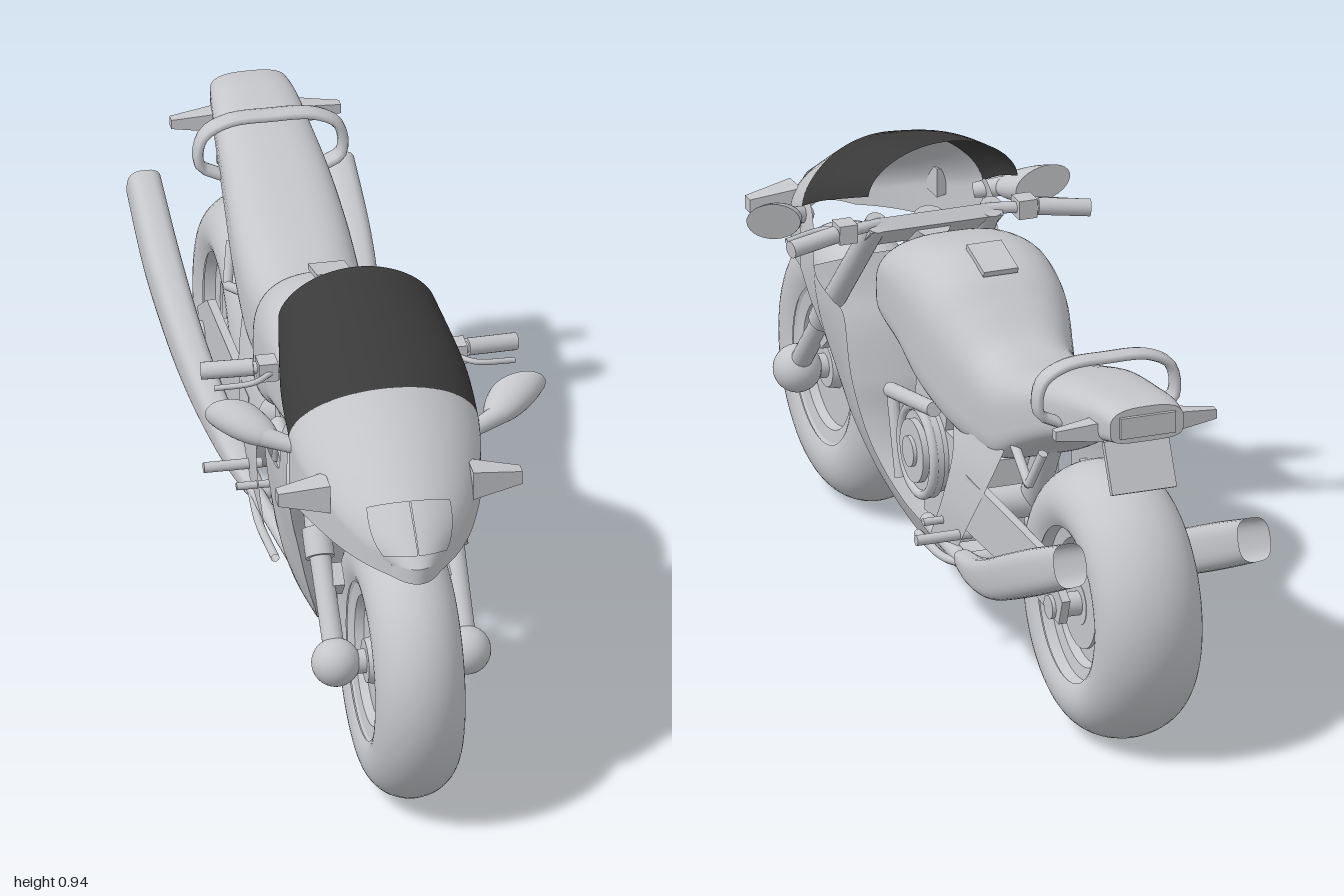
import * as THREE from 'three';

const V = (x, y, z) => new THREE.Vector3(x, y, z);
const grey = new THREE.MeshStandardMaterial({ color: 0xc4c6ca, side: THREE.DoubleSide });
grey.name = 'bodyGrey';
const dark = new THREE.MeshStandardMaterial({ color: 0x3a3a3a, side: THREE.DoubleSide });
dark.name = 'screenDark';

// Smooth value of a table of sections at s in 0..1
function sample(table, s) {
  const f = s * (table.length - 1), i = Math.min(Math.floor(f), table.length - 2), t = f - i;
  const row = k => table[Math.max(0, Math.min(table.length - 1, k))];
  return table[i].map((p1, c) => {
    const p0 = row(i - 1)[c], p2 = row(i + 1)[c], p3 = row(i + 2)[c];
    return p1 + 0.5 * t * (p2 - p0 + t * (2 * p0 - 5 * p1 + 4 * p2 - p3 + t * (3 * (p1 - p2) + p3 - p0)));
  });
}
const bend = (c, power) => Math.sign(c) * Math.abs(c) ** power;

// Surface from fn(u, v) -> Vector3, with optional wrap round v and end caps
function surface(fn, nu, nv, closed = false, caps = false) {
  const pos = [], idx = [], cols = closed ? nv : nv + 1;
  for (let i = 0; i <= nu; i++)
    for (let j = 0; j < cols; j++) pos.push(...fn(i / nu, j / nv).toArray());
  for (let i = 0; i < nu; i++)
    for (let j = 0; j < nv; j++) {
      const a = i * cols + j, b = i * cols + (j + 1) % cols, c = a + cols, d = b + cols;
      idx.push(a, c, b, b, c, d);
    }
  if (caps) for (const end of [0, nu]) {
    const start = pos.length / 3, mid = V(0, 0, 0);
    for (let j = 0; j < cols; j++) {
      const p = fn(end / nu, j / nv);
      mid.addScaledVector(p, 1 / cols);
      pos.push(...p.toArray());
    }
    pos.push(...mid.toArray());
    for (let j = 0; j < cols; j++) {
      const a = start + j, b = start + (j + 1) % cols;
      idx.push(...(end ? [a, start + cols, b] : [a, b, start + cols]));
    }
  }
  const g = new THREE.BufferGeometry();
  g.setAttribute('position', new THREE.Float32BufferAttribute(pos, 3));
  g.setIndex(idx);
  g.computeVertexNormals();
  return g;
}

// Straight round bar between two points
function rod(a, b, r1, r2 = r1, sides = 20) {
  const d = b.clone().sub(a);
  return new THREE.CylinderGeometry(r2, r1, d.length(), sides)
    .applyQuaternion(new THREE.Quaternion().setFromUnitVectors(V(0, 1, 0), d.normalize()))
    .translate((a.x + b.x) / 2, (a.y + b.y) / 2, (a.z + b.z) / 2);
}
const box = (w, h, d, x, y, z, tilt = 0) => new THREE.BoxGeometry(w, h, d).rotateX(tilt).translate(x, y, z);
const disc = (r, w, x, y, z) => new THREE.CylinderGeometry(r, r, w, 40).rotateZ(Math.PI / 2).translate(x, y, z);
const tube = (pts, r) => new THREE.TubeGeometry(new THREE.CatmullRomCurve3(pts), 32, r, 10);

// Four-sided lamp pointing sideways
function lamp(tip, base, length, x, y, z) {
  const g = new THREE.CylinderGeometry(tip, base, length, 4).rotateY(Math.PI / 4).rotateZ(-Math.PI / 2).toNonIndexed();
  g.computeVertexNormals();
  return g.translate(x, y, z);
}

// Plate drawn in the side plane as [z, y] points, between x and x + t
function sidePlate(pts, x, t) {
  const shape = new THREE.Shape(pts.map(([z, y]) => new THREE.Vector2(-z, y)));
  return new THREE.ExtrudeGeometry(shape, { depth: t, bevelEnabled: false }).rotateY(Math.PI / 2).translate(x, 0, 0);
}

export function createModel() {
  const model = new THREE.Group();
  model.name = 'motorcycle';
  const add = (name, geo, mat = grey) => {
    const m = new THREE.Mesh(geo, mat);
    m.name = name;
    model.add(m);
    return m;
  };
  const pair = (name, geo) => {
    add(name + 'Left', geo);
    add(name + 'Right', geo).scale.x = -1;
  };

  // Wheels: tyre of round section, stepped rim bands and axle
  for (const [name, z, w, R] of [['front', 0.713, 0.092, 0.287], ['rear', -0.702, 0.113, 0.286]]) {
    const tyre = [];
    for (let i = -16; i <= 16; i++) {
      const a = i / 16 * 2.05;
      tyre.push(new THREE.Vector2(R - 0.085 + 0.085 * Math.cos(a), w * Math.sin(a)));
    }
    add(name + 'Tyre', new THREE.LatheGeometry(tyre, 64).rotateZ(Math.PI / 2).translate(0, 0.29, z));
    const half = [[0.166, 0.86 * w], [0.16, 0.075], [0.134, 0.07], [0.128, 0.052], [0.05, 0.052], [0.045, 0.075], [0, 0.075]];
    for (const side of [1, -1]) {
      const ring = half.map(([r, x]) => new THREE.Vector2(r, side * x));
      for (let i = 1; i < ring.length; i++)
        add(name + 'Rim', new THREE.LatheGeometry([ring[i - 1], ring[i]], 48).rotateZ(Math.PI / 2).translate(0, 0.29, z));
    }
    add(name + 'Axle', disc(0.025, name === 'front' ? 0.25 : 0.28, 0, 0.29, z));
  }
  pair('rearBrakeDisc', disc(0.095, 0.008, 0.07, 0.29, -0.702));

  // Front fork
  pair('forkBall', new THREE.SphereGeometry(0.05, 28, 20).translate(0.135, 0.293, 0.713));
  pair('forkLeg', rod(V(0.135, 0.295, 0.713), V(0.138, 0.48, 0.54), 0.022));
  pair('forkSleeve', rod(V(0.138, 0.455, 0.563), V(0.138, 0.5, 0.522), 0.03));
  pair('forkTube', rod(V(0.138, 0.48, 0.54), V(0.125, 0.76, 0.295), 0.024));
  pair('brakeCaliper', box(0.035, 0.05, 0.05, 0.115, 0.415, 0.585, 0.7));
  add('forkClamp', box(0.29, 0.03, 0.08, 0, 0.73, 0.32, 0.7));
  add('steeringHead', rod(V(0, 0.58, 0.42), V(0, 0.74, 0.31), 0.04));

  // Handlebars and levers
  pair('handlebar', rod(V(0.11, 0.755, 0.305), V(0.24, 0.75, 0.278), 0.012));
  pair('grip', rod(V(0.22, 0.752, 0.282), V(0.325, 0.742, 0.26), 0.018));
  pair('controlBox', box(0.04, 0.04, 0.045, 0.195, 0.752, 0.292));
  pair('lever', tube([V(0.19, 0.75, 0.31), V(0.23, 0.745, 0.335), V(0.31, 0.735, 0.325)], 0.006));

  // Nose sections: z, top, half width, shoulder height, bottom
  const noseRows = [
    [0.912, 0.6, 0.05, 0.592, 0.566], [0.865, 0.645, 0.092, 0.612, 0.572], [0.8, 0.697, 0.132, 0.64, 0.579],
    [0.72, 0.75, 0.164, 0.665, 0.585], [0.64, 0.798, 0.188, 0.69, 0.588], [0.575, 0.838, 0.196, 0.72, 0.585]];
  const nose = (s, t, lift = 0) => {
    const [z, top, w, sh, bot] = sample(noseRows, s), side = Math.sign(t), k = Math.abs(t);
    const a = Math.min(k / 0.65, 1) * Math.PI / 2, fall = Math.max(0, (k - 0.65) / 0.35);
    const y = k < 0.65 ? sh + (top - sh + lift) * Math.max(0, Math.cos(a)) ** 1.15 : sh + (bot - sh) * fall;
    return V(side * (w + lift) * Math.sin(a), y, z + lift - 0.045 * Math.sin(a) ** 2);
  };
  add('noseFairing', surface((u, v) => nose(u, v * 2 - 1), 24, 48));
  add('noseFront', surface((u, v) => { const p = nose(0, v * 2 - 1); p.y += (0.566 - p.y) * u; return p; }, 2, 24));
  for (const s of [-1, 1])
    add('headlight' + (s > 0 ? 'Left' : 'Right'),
      surface((u, v) => nose(0.1 + 0.3 * u, s * (0.004 + (0.46 - 0.18 * u) * v), 0.004), 8, 12));

  // Windscreen
  const screenRows = [[0.575, 0.838, 0.53, 0.72, 0.196], [0.42, 0.895, 0.42, 0.772, 0.192], [0.24, 0.938, 0.245, 0.84, 0.162]];
  add('windscreen', surface((u, v) => {
    const [zc, yc, zs, ys, w] = sample(screenRows, u), a = (v - 0.5) * Math.PI, k = Math.sin(a) ** 2;
    return V(w * Math.sin(a), ys + (yc - ys) * Math.max(0, Math.cos(a)) ** 1.15, zc + (zs - zc) * k);
  }, 16, 40), dark);

  // Side fairing: stations from top edge (z, y) to bottom edge (z, y), front edge drawn inwards
  const flank = [
    [0.53, 0.72, 0.53, 0.585], [0.495, 0.735, 0.505, 0.525], [0.46, 0.69, 0.475, 0.475], [0.445, 0.605, 0.455, 0.43],
    [0.36, 0.582, 0.432, 0.36], [0.288, 0.565, 0.41, 0.29], [0.288, 0.42, 0.37, 0.225], [0.25, 0.28, 0.3, 0.17],
    [0.17, 0.208, 0.2, 0.136], [0.05, 0.187, 0.07, 0.124], [-0.09, 0.187, -0.1, 0.14], [-0.2, 0.21, -0.22, 0.168]];
  const widths = [[0.09], [0.122], [0.154], [0.176], [0.191], [0.199], [0.198], [0.185]]; // y 0.12 to 0.78
  const flankX = (u, v, y) => sample(widths, Math.max(0, Math.min(1, (y - 0.12) / 0.66)))[0] * (1 - 0.13 * v * v * Math.sin(Math.PI * u));
  pair('sideFairing', surface((u, v) => {
    const [z0, y0, z1, y1] = sample(flank, u), y = y0 + (y1 - y0) * v;
    return V(flankX(u, v, y), y, z0 + (z1 - z0) * v);
  }, 66, 10));
  // Wheel arch liner running down into the belly pan
  add('archAndBellyPan', surface((u, v) => {
    const [, , z, y] = sample(flank, u), k = v * 2 - 1, arch = 1 - k * k;
    const front = Math.max(0, 1 - u * 1.8);
    return V(flankX(u, 1, y) * k, y - 0.012 * arch * (1 - front) + 0.02 * front * arch, z - 0.018 * arch * Math.min(1, front * 3));
  }, 60, 12));

  // Turn signals at the nose
  pair('frontSignal', lamp(0.02, 0.044, 0.105, 0.2, 0.674, 0.69));

  // Mirrors: bowl swept forwards and inwards from a flat rear face
  const sweep = new THREE.Matrix4().set(1, 0, -0.65, 0.293, 0, 1, -0.25, 0.733, 0, 0, 1, 0.44, 0, 0, 0, 1);
  const shell = new THREE.SphereGeometry(1, 28, 12, 0, Math.PI * 2, 0, Math.PI / 2).rotateX(Math.PI / 2).scale(0.06, 0.037, 0.085);
  const glass = new THREE.CircleGeometry(1, 28).rotateY(Math.PI).scale(0.06, 0.037, 1);
  for (const [name, g] of [['mirrorShell', shell], ['mirrorGlass', glass]])
    pair(name, g.rotateZ(0.25).applyMatrix4(sweep));
  pair('mirrorArm', rod(V(0.18, 0.7, 0.535), V(0.25, 0.715, 0.5), 0.016, 0.022));

  // Tank, seat and tail as one flowing body: z, top, bottom, half width
  const spine = [
    [0.285, 0.7, 0.565, 0.118], [0.268, 0.722, 0.56, 0.137], [0.2, 0.76, 0.556, 0.153], [0.1, 0.785, 0.54, 0.162],
    [0.02, 0.79, 0.5, 0.162], [-0.06, 0.768, 0.472, 0.155], [-0.13, 0.72, 0.448, 0.137], [-0.2, 0.674, 0.44, 0.118],
    [-0.26, 0.664, 0.447, 0.119], [-0.34, 0.672, 0.47, 0.122], [-0.46, 0.705, 0.535, 0.12], [-0.6, 0.747, 0.603, 0.11],
    [-0.75, 0.77, 0.66, 0.097], [-0.84, 0.782, 0.688, 0.088], [-0.895, 0.778, 0.702, 0.08]];
  add('tankSeatAndTail', surface((u, v) => {
    const [z, top, bot, w] = sample(spine, u), a = v * Math.PI * 2, s = Math.sin(a), p = s > 0 ? 0.72 : 0.45;
    return V(w * bend(Math.cos(a), p), (top + bot) / 2 + (top - bot) / 2 * bend(s, p), z);
  }, 84, 48, true, true));
  add('fuelCap', box(0.075, 0.012, 0.1, 0, 0.783, -0.03, -0.26));
  add('tailLight', box(0.12, 0.045, 0.012, 0, 0.738, -0.897));
  add('numberPlate', box(0.14, 0.11, 0.014, 0, 0.635, -0.852, 0.45));
  pair('rearSignal', lamp(0.014, 0.03, 0.1, 0.125, 0.714, -0.825));

  // Grab rail: a flat band arched over the tail
  const railHalf = [V(0.105, 0.675, -0.665), V(0.146, 0.7, -0.665), V(0.14, 0.765, -0.665), V(0.09, 0.795, -0.665)];
  const rail = [...railHalf, V(0, 0.8, -0.665), ...railHalf.map(p => V(-p.x, p.y, p.z)).reverse()];
  add('grabRail', tube(rail, 0.011).translate(0, 0, 0.665).scale(1, 1, 2.1).translate(0, 0, -0.665));

  // Engine with round side covers, and frame bars
  add('crankcase', disc(0.09, 0.21, 0, 0.342, 0.083));
  add('cylinderBlock', box(0.17, 0.16, 0.17, 0, 0.45, 0.09, -0.25));
  add('gearbox', box(0.17, 0.13, 0.2, 0, 0.34, -0.08));
  add('sump', box(0.14, 0.1, 0.2, 0, 0.225, 0.07));
  for (const [r, x] of [[0.1, 0.108], [0.066, 0.122], [0.032, 0.13]])
    pair('engineCover', disc(r, 0.02, x, 0.342, 0.083));
  pair('coverRing', new THREE.TorusGeometry(0.092, 0.01, 10, 40).rotateY(Math.PI / 2).translate(0.118, 0.342, 0.083));
  pair('frameBar', rod(V(0.12, 0.42, 0.23), V(0.115, 0.46, 0), 0.016));
  pair('lowerFrameBar', rod(V(0.11, 0.24, 0.2), V(0.11, 0.42, 0.25), 0.012));

  // Side panels flaring from under the seat down to the foot pegs: front z, y, rear z, y, x
  const panel = [[-0.1, 0.47, -0.385, 0.51, 0.112], [-0.135, 0.41, -0.345, 0.43, 0.128],
    [-0.105, 0.31, -0.27, 0.325, 0.138], [-0.03, 0.2, -0.19, 0.235, 0.136]];
  pair('sidePanel', surface((u, v) => {
    const [z0, y0, z1, y1, x] = sample(panel, u);
    return V(x, y0 + (y1 - y0) * v, z0 + (z1 - z0) * v);
  }, 18, 6));

  // Swingarm and rear hanger
  pair('swingarm', sidePlate([[-0.22, 0.4], [-0.66, 0.388], [-0.76, 0.32], [-0.74, 0.265], [-0.62, 0.28], [-0.22, 0.28]], 0.114, 0.018));
  add('swingarmPivot', disc(0.035, 0.24, 0, 0.34, -0.25));
  add('rearShock', rod(V(0, 0.33, -0.25), V(0, 0.56, -0.38), 0.03));
  pair('hangerStrut', rod(V(0.1, 0.54, -0.4), V(0.115, 0.49, -0.53), 0.01));
  pair('hangerBrace', rod(V(0.1, 0.57, -0.57), V(0.115, 0.49, -0.53), 0.01));

  // Foot pegs and pedals
  pair('footPeg', rod(V(0.11, 0.262, -0.195), V(0.23, 0.262, -0.195), 0.011));
  pair('shortPeg', rod(V(0.11, 0.262, -0.105), V(0.18, 0.262, -0.105), 0.008));
  pair('pedal', tube([V(0.13, 0.2, -0.2), V(0.135, 0.18, -0.1), V(0.13, 0.175, 0.05)], 0.009));

  // Silencers, open at the slanted rear end: z, x, y, half width, half height
  const pipe = [
    [-0.19, 0.125, 0.205, 0.02, 0.018], [-0.29, 0.14, 0.22, 0.027, 0.026], [-0.4, 0.156, 0.248, 0.031, 0.035],
    [-0.51, 0.173, 0.287, 0.033, 0.041], [-0.63, 0.187, 0.338, 0.035, 0.044], [-0.8, 0.198, 0.412, 0.037, 0.045],
    [-0.98, 0.2, 0.49, 0.035, 0.042]];
  pair('silencer', surface((u, v) => {
    const [z, x, y, w, h] = sample(pipe, u), a = v * Math.PI * 2, dy = h * bend(Math.sin(a), 0.7);
    return V(x + w * bend(Math.cos(a), 0.7), y + dy, z + dy * 0.4);
  }, 36, 28, true));
  add('exhaustCrossPipe', rod(V(-0.13, 0.2, -0.19), V(0.13, 0.2, -0.19), 0.018));
  pair('headerPipe', rod(V(0.09, 0.18, 0.1), V(0.125, 0.2, -0.2), 0.016));
  return model;
}
